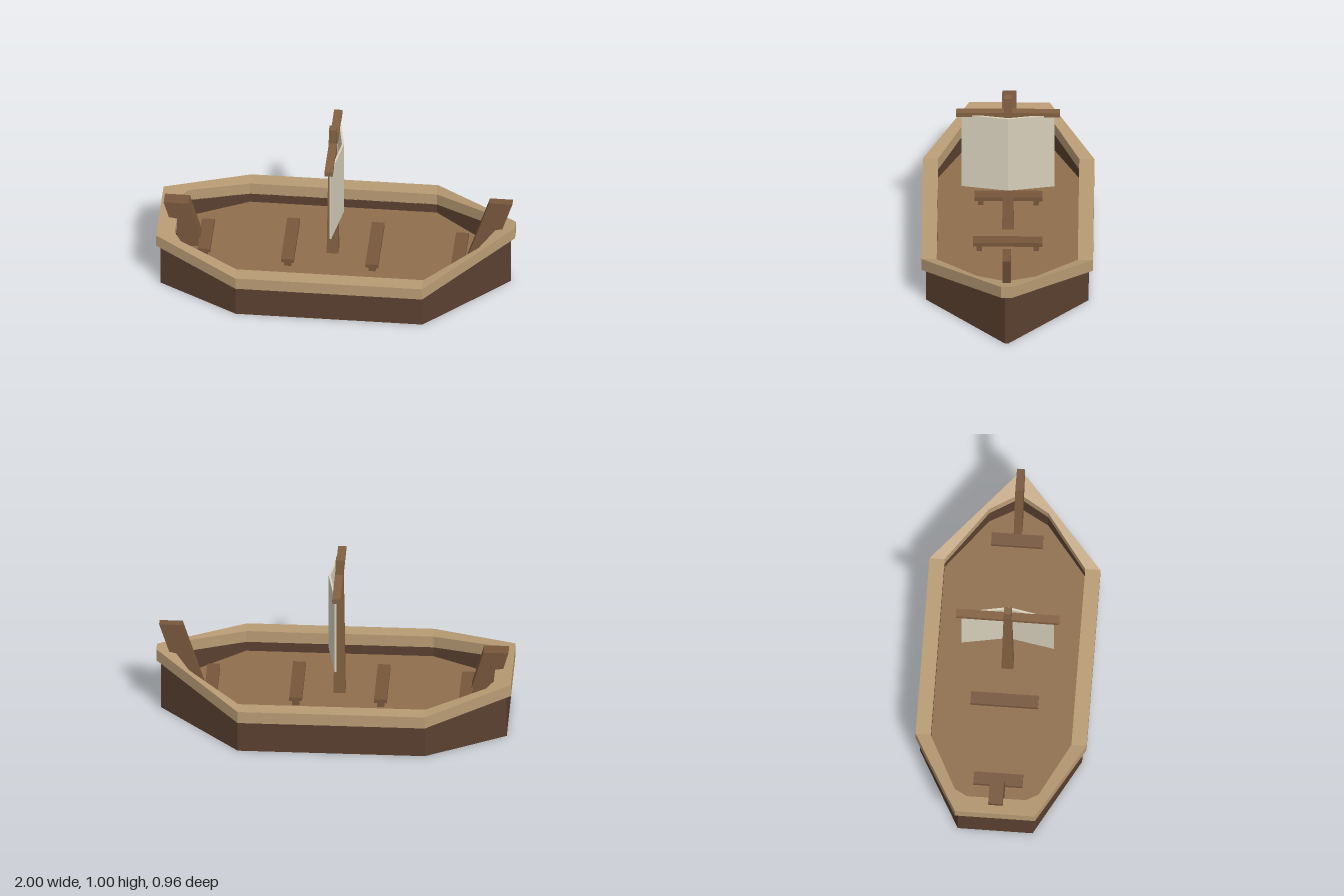
import * as THREE from 'three';

const mat = (color) => new THREE.MeshStandardMaterial({ color, flatShading: true, side: THREE.DoubleSide });
const hullMat = mat(0x5a4030), deckMat = mat(0x8f6f4e), rimMat = mat(0xb89b74);
const woodMat = mat(0x77573c), mastMat = mat(0x836142), sailMat = mat(0xd8d0bc);

// Half outlines [x, z] from stern to bow
const HULL = [[-0.975, 0.21], [-0.53, 0.455], [0.52, 0.455], [0.975, 0.01]];
const RIM = [[-1, 0.225], [-0.53, 0.48], [0.52, 0.48], [1, 0.03]];
const INNER = [[-0.9, 0.165], [-0.86, 0.235], [-0.53, 0.395], [0.52, 0.395], [0.81, 0.165], [0.89, 0.02]];

// Full loop mirrored across the keel
const loop = (half) => [...half, ...half.map(([x, z]) => [x, -z]).reverse()].map(([x, z]) => new THREE.Vector2(x, z));

// Upward sweep of the gunwale towards stern and bow
const sheer = (x) => (x < -0.53 ? (-0.53 - x) * 0.16 : x > 0.52 ? (x - 0.52) * 0.255 : 0);

// Horizontal slab between y0 and y1, optionally hollow
function slab(outer, inner, y0, y1) {
  const shape = new THREE.Shape(loop(outer));
  if (inner) shape.holes.push(new THREE.Path(loop(inner)));
  const geo = new THREE.ExtrudeGeometry(shape, { depth: y1 - y0, bevelEnabled: false });
  return geo.rotateX(-Math.PI / 2).translate(0, y0, 0);
}

// Raise the vertices above minY along the sheer line
function raise(geo, minY) {
  const p = geo.attributes.position;
  for (let i = 0; i < p.count; i++) {
    if (p.getY(i) > minY) p.setY(i, p.getY(i) + sheer(p.getX(i)));
  }
  geo.computeVertexNormals();
  return geo;
}

// Side-view outline [x, y] extruded across the boat
function crossPiece(points, width) {
  const shape = new THREE.Shape(points.map(([x, y]) => new THREE.Vector2(x, y)));
  return new THREE.ExtrudeGeometry(shape, { depth: width, bevelEnabled: false }).translate(0, 0, -width / 2);
}

export function createModel() {
  const model = new THREE.Group();
  const add = (name, geo, material, parent = model) => {
    const mesh = new THREE.Mesh(geo, material);
    mesh.name = name;
    parent.add(mesh);
    return mesh;
  };

  // Hull, deck and rim
  add('hullWall', raise(slab(HULL, INNER, 0, 0.198), 0.1), hullMat);
  add('hullBottom', slab(INNER, null, 0, 0.125), hullMat);
  add('deck', slab(INNER, null, 0.125, 0.14), deckMat);
  add('rim', raise(slab(RIM, INNER, 0.196, 0.268), 0), rimMat);

  // Leaning posts at bow and stern
  add('bowPost', crossPiece([[0.725, 0.14], [0.855, 0.14], [0.985, 0.55], [0.855, 0.55]], 0.046), woodMat);
  add('sternPost', crossPiece([[-0.89, 0.14], [-0.75, 0.14], [-0.835, 0.437], [-0.975, 0.437]], 0.08), woodMat);

  // Benches: [centre x, half length]
  for (const [x, half] of [[-0.74, 0.138], [-0.265, 0.19], [0.21, 0.195], [0.688, 0.145]]) {
    const bench = new THREE.Group();
    bench.name = 'bench';
    bench.position.set(x, 0.14, 0);
    add('benchSeat', new THREE.BoxGeometry(0.072, 0.024, half * 2).translate(0, 0.05, 0), woodMat, bench);
    for (const s of [-1, 1]) {
      add('benchLeg', new THREE.BoxGeometry(0.04, 0.038, 0.03).translate(0, 0.019, s * (half - 0.035)), woodMat, bench);
    }
    model.add(bench);
  }

  // Tapered square mast and its spar
  const mast = new THREE.CylinderGeometry(0.021 * Math.SQRT2, 0.033 * Math.SQRT2, 0.86, 4).rotateY(Math.PI / 4);
  add('mast', mast.translate(-0.026, 0.57, 0), mastMat);
  add('spar', new THREE.BoxGeometry(0.046, 0.028, 0.58).translate(-0.024, 0.894, 0), mastMat);

  // Sail folded along its centre line
  const fold = [[-0.012, 0.26], [0.036, 0], [-0.012, -0.26], [-0.022, -0.26], [0.024, 0], [-0.022, 0.26]];
  const sail = new THREE.ExtrudeGeometry(
    new THREE.Shape(fold.map(([x, z]) => new THREE.Vector2(x, z))),
    { depth: 0.474, bevelEnabled: false },
  );
  add('sail', sail.rotateX(-Math.PI / 2).translate(0, 0.416, 0), sailMat);

  return model;
}
